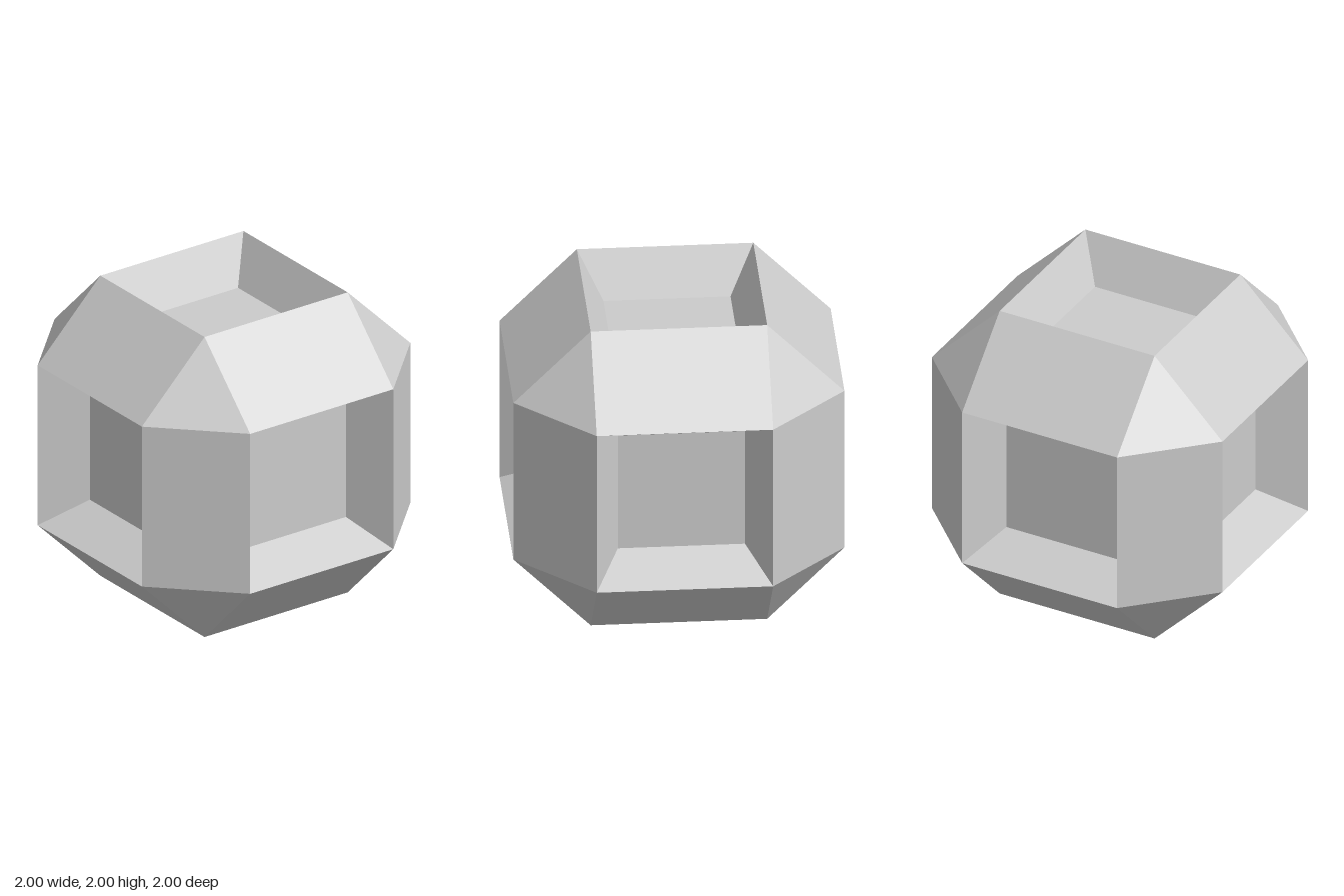
import * as THREE from 'three';

const A = 0.533;    // half width of each square opening
const INNER = 0.72; // recess floor: opening scaled toward the centre
const Q = Math.PI / 2;

// Flat facets from convex polygons with counter-clockwise corners
function facets(polygons) {
  const pos = [];
  for (const p of polygons) {
    for (let i = 1; i < p.length - 1; i++) pos.push(...p[0], ...p[i], ...p[i + 1]);
  }
  const g = new THREE.BufferGeometry();
  g.setAttribute('position', new THREE.Float32BufferAttribute(pos, 3));
  g.computeVertexNormals();
  return g;
}

export function createModel() {
  const material = new THREE.MeshStandardMaterial({ color: 0xcccccc, flatShading: true });
  const model = new THREE.Group();
  model.name = 'facetedBlock';
  const body = new THREE.Group();
  body.name = 'body';
  body.position.y = 1;
  model.add(body);

  const add = (parent, geometry, name, x, y) => {
    const mesh = new THREE.Mesh(geometry, material);
    mesh.name = name;
    mesh.rotation.set(x, y, 0);
    parent.add(mesh);
  };

  // Square recess facing +z: four sloped walls and a floor
  const rim = [[A, A, 1], [-A, A, 1], [-A, -A, 1], [A, -A, 1]];
  const floor = rim.map(p => p.map(v => v * INNER));
  const walls = rim.map((p, i) => {
    const j = (i + 1) % 4;
    return [p, rim[j], floor[j], floor[i]];
  });
  const recess = facets([floor, ...walls]);
  for (let i = 0; i < 4; i++) add(body, recess, 'sideRecess', 0, i * Q);
  add(body, recess, 'topRecess', -Q, 0);
  add(body, recess, 'bottomRecess', Q, 0);

  // Twelve edge bevels: four around each axis
  const bevel = facets([[[A, -A, 1], [1, -A, A], [1, A, A], [A, A, 1]]]);
  for (const [rx, rz, name] of [[0, 0, 'uprightBevels'], [0, Q, 'crossBevels'], [Q, 0, 'depthBevels']]) {
    const ring = new THREE.Group();
    ring.name = name;
    ring.rotation.set(rx, 0, rz);
    for (let i = 0; i < 4; i++) add(ring, bevel, 'edgeBevel', 0, i * Q);
    body.add(ring);
  }

  // Eight corner triangles: four above, four below
  const corner = facets([[[A, A, 1], [1, A, A], [A, 1, A]]]);
  for (let i = 0; i < 4; i++) {
    add(body, corner, 'topCorner', 0, i * Q);
    add(body, corner, 'bottomCorner', Math.PI, i * Q);
  }

  return model;
}
